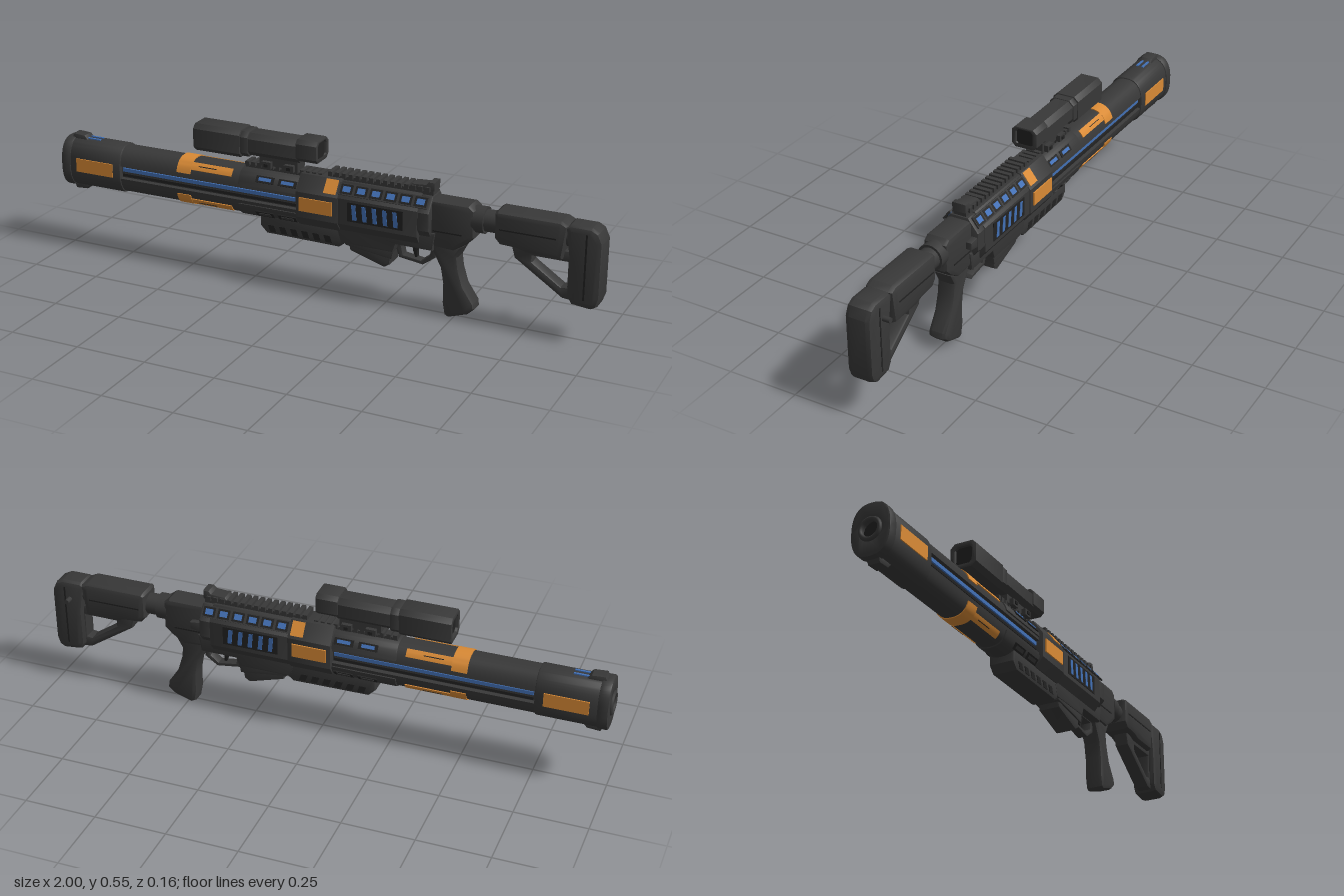
import * as THREE from 'three';
import { toCreasedNormals } from 'three/addons/utils/BufferGeometryUtils.js';

const mat = (name, color) => {
  const m = new THREE.MeshStandardMaterial({ color });
  m.name = name;
  return m;
};

export function createModel() {
  const root = new THREE.Group();
  const body = mat('charcoal', 0x383838), dark = mat('black', 0x222222);
  const orange = mat('orange', 0xd98a35), blue = mat('blue', 0x4270b5);
  const CY = 0.325; // barrel axis height

  const add = (name, geo, m = body) => {
    const mesh = new THREE.Mesh(geo, m);
    mesh.name = name;
    root.add(mesh);
    return mesh;
  };
  const shapeOf = (pts, holes = []) => {
    const s = new THREE.Shape(pts.map(p => new THREE.Vector2(...p)));
    holes.forEach(h => s.holes.push(new THREE.Path(h.map(p => new THREE.Vector2(...p)))));
    return s;
  };
  const extrude = (pts, depth, b, holes) => toCreasedNormals(new THREE.ExtrudeGeometry(shapeOf(pts, holes), {
    depth: depth - 2 * b, bevelEnabled: b > 0, bevelThickness: b, bevelSize: b, bevelOffset: -b, bevelSegments: 2,
  }).translate(0, 0, b), 0.55);
  // section given as (z, y), run along x
  const prismX = (name, pts, x0, x1, b = 0.004, m = body, holes) =>
    add(name, extrude(pts, x1 - x0, b, holes).rotateY(Math.PI / 2).translate(x0, 0, 0), m);
  // side outline given as (x, y), centred across z
  const prismZ = (name, pts, half, b = 0.008, m = body, holes) =>
    add(name, extrude(pts, 2 * half, b, holes).translate(0, 0, -half), m);
  const box = (name, x0, x1, y0, y1, z0, z1, m = body) =>
    add(name, new THREE.BoxGeometry(x1 - x0, y1 - y0, z1 - z0).translate((x0 + x1) / 2, (y0 + y1) / 2, (z0 + z1) / 2), m);
  const boxC = (name, x0, x1, y0, y1, half, m) => box(name, x0, x1, y0, y1, -half, half, m);
  // plate on both flanks at depth z
  const sidePlate = (name, x0, x1, y0, y1, z, t, m) =>
    [1, -1].forEach(s => box(name, x0, x1, y0, y1, s * z - t / 2, s * z + t / 2, m));
  // chamfered rectangle
  const chamfer = (hw, y0, y1, c) => [[-hw + c, y0], [hw - c, y0], [hw, y0 + c], [hw, y1 - c],
    [hw - c, y1], [-hw + c, y1], [-hw, y1 - c], [-hw, y0 + c]];
  // arc of the tall rounded barrel section
  const arc = (hz, hy, a0, a1, n = 16) => Array.from({ length: n + 1 }, (_, i) => {
    const a = a0 + (a1 - a0) * i / n, c = Math.cos(a), s = Math.sin(a);
    return [hz * Math.sign(c) * Math.abs(c) ** 0.8, CY + hy * Math.sign(s) * Math.abs(s) ** 0.8];
  });
  const oval = (hz, hy) => arc(hz, hy, 0, Math.PI * 2, 48).slice(0, -1);
  const P = Math.PI;

  // Barrel with a channel along each flank
  const notch = [[-0.048, CY + 0.02], [-0.048, CY - 0.02]];
  prismX('barrel', [...arc(0.062, 0.083, 0.2, P - 0.2), ...notch, ...arc(0.062, 0.083, P + 0.2, 2 * P - 0.2),
    ...notch.slice().reverse().map(([z, y]) => [-z, y])], -0.76, -0.04, 0);
  sidePlate('barrelLight', -0.745, -0.06, CY + 0.003, CY + 0.016, 0.05, 0.008, blue);
  sidePlate('barrelChannelRail', -0.745, -0.06, CY - 0.014, CY - 0.004, 0.051, 0.008, dark);

  // Muzzle shroud, front cap and bore
  const bore = arc(0.034, 0.034, 0, 2 * P, 32).slice(0, -1);
  prismX('muzzleShroud', oval(0.066, 0.088), -0.965, -0.75, 0.005);
  prismX('muzzleCap', oval(0.07, 0.092), -0.992, -0.955, 0.006, body, [bore]);
  const ring = add('boreRing', new THREE.TorusGeometry(0.034, 0.008, 8, 32).rotateY(P / 2), body);
  ring.position.set(-0.992, CY, 0);
  const disc = add('bore', new THREE.CylinderGeometry(0.034, 0.034, 0.004, 32).rotateZ(P / 2), dark);
  disc.position.set(-0.972, CY, 0);
  prismZ('muzzleTopLug', [[-0.975, 0.405], [-0.9, 0.405], [-0.92, 0.425], [-0.965, 0.428]], 0.022, 0.004);
  prismZ('muzzleBottomLug', [[-0.975, 0.245], [-0.965, 0.22], [-0.92, 0.223], [-0.9, 0.245]], 0.022, 0.004);
  for (const s of [1, -1]) box('muzzleLight', -0.945, -0.86, 0.409, 0.416, s * 0.011 - 0.004, s * 0.011 + 0.004, blue);
  sidePlate('muzzlePanel', -0.93, -0.78, 0.303, 0.352, 0.064, 0.009, orange);

  // Orange band and side strips, above and below
  for (const [base, label] of [[0, 'top'], [P, 'bottom']]) {
    prismX(label + 'Band', arc(0.0655, 0.0865, base + 0.38, base + P - 0.38), -0.522, -0.468, 0, orange);
    for (const [a, b] of [[0.6, 1.05], [P - 1.05, P - 0.6]]) {
      const strip = [...arc(0.0645, 0.086, base + a, base + b, 5), ...arc(0.055, 0.075, base + b, base + a, 5)];
      prismX(label + 'Strip', strip, -0.468, -0.31, 0, orange);
      prismX(label + 'StripLine', [...arc(0.066, 0.087, base + (a + b) / 2 - 0.02, base + (a + b) / 2 + 0.02, 2),
        ...arc(0.058, 0.078, base + (a + b) / 2 + 0.02, base + (a + b) / 2 - 0.02, 2)], -0.44, -0.37, 0, dark);
    }
  }
  // Handguard sleeve halves with vents
  for (const [base, label] of [[0, 'upper'], [P, 'lower']]) {
    prismX(label + 'Handguard', arc(0.067, 0.088, base + 0.32, base + P - 0.32), -0.28, -0.04, 0.003);
    for (const x of [-0.18, -0.095]) for (const s of [1, -1]) {
      const y = base ? -1 : 1;
      const frame = add('ventFrame', new THREE.BoxGeometry(0.068, 0.024, 0.008), dark);
      const vent = add('vent', new THREE.BoxGeometry(0.046, 0.012, 0.009), base ? body : blue);
      frame.position.set(x, CY + y * 0.061, s * 0.052);
      vent.position.set(x, CY + y * 0.0618, s * 0.053);
      frame.rotation.x = vent.rotation.x = -s * y * 0.62;
    }
  }

  // Receiver
  const octagon = (g) => [[-0.047 - g, 0.25], [0.047 + g, 0.25], [0.073 + g, 0.285], [0.073 + g, 0.375],
    [0.035 + g, 0.425 + g], [-0.035 - g, 0.425 + g], [-0.073 - g, 0.375], [-0.073 - g, 0.285]];
  prismX('receiverCollar', octagon(0.003), -0.055, 0.1, 0.004);
  prismX('receiver', octagon(-0.001), 0.09, 0.385, 0.004);
  prismX('receiverRear', [[-0.045, 0.28], [0.045, 0.28], [0.07, 0.31], [0.07, 0.372], [0.033, 0.42],
    [-0.033, 0.42], [-0.07, 0.372], [-0.07, 0.31]], 0.38, 0.425, 0.006);
  prismZ('lowerReceiver', [[0.08, 0.27], [0.1, 0.205], [0.29, 0.205], [0.3, 0.235], [0.43, 0.235], [0.44, 0.3], [0.08, 0.3]], 0.05);
  sidePlate('receiverPanel', -0.04, 0.082, 0.309, 0.357, 0.076, 0.009, orange);
  for (const s of [1, -1]) {
    const slant = (name, x, w, h, t, m) => {
      const p = add(name, new THREE.BoxGeometry(w, h, t), m);
      p.position.set(x, 0.403, s * 0.053);
      p.rotation.x = -s * 0.65;
    };
    slant('shoulderPanel', 0.068, 0.045, 0.052, 0.009, orange);
    slant('shoulderVentFrame', 0.255, 0.32, 0.042, 0.006, body);
    for (let i = 0; i < 6; i++) {
      slant('shoulderVentSurround', 0.125 + i * 0.053, 0.044, 0.034, 0.0072, dark);
      slant('shoulderVentLight', 0.125 + i * 0.053, 0.028, 0.02, 0.0085, blue);
    }
    // slanted lights on the flank
    box('flankRecess', 0.135, 0.335, 0.3, 0.367, s * 0.072 - 0.002, s * 0.072 + 0.002, dark);
    for (let i = 0; i < 5; i++) {
      const x = 0.155 + i * 0.037;
      prismZ('flankLight', [[x, 0.307], [x + 0.015, 0.307], [x + 0.01, 0.36], [x - 0.005, 0.36]], 0.0015, 0, blue).position.z = s * 0.074;
    }
  }

  // Rails and rear sight
  const rail = (x0, x1, y, n, half) => {
    boxC('rail', x0, x1, y - 0.016, y, half * 0.75);
    const step = (x1 - x0) / n;
    for (let i = 0; i < n; i++) boxC('railTooth', x0 + i * step, x0 + (i + 0.6) * step, y - 0.004, y + 0.012, half);
  };
  rail(-0.27, 0.03, 0.421, 13, 0.026);
  rail(0.045, 0.42, 0.436, 15, 0.032);
  prismZ('rearSight', [[0.33, 0.435], [0.425, 0.435], [0.425, 0.465], [0.405, 0.465], [0.395, 0.455], [0.345, 0.452]], 0.026, 0.004);

  // Scope
  const win = (y0, y1) => chamfer(0.031, y0, y1, 0.009).reverse();
  prismX('scopeHood', chamfer(0.049, 0.447, 0.544, 0.016), -0.46, -0.28, 0.004, body, [win(0.464, 0.527)]);
  boxC('frontLens', -0.45, -0.444, 0.462, 0.529, 0.033, dark);
  prismX('scopeBody', chamfer(0.044, 0.458, 0.538, 0.018), -0.29, -0.06, 0.004);
  prismX('scopeStep', chamfer(0.047, 0.452, 0.541, 0.017), -0.28, -0.25, 0.003);
  prismX('scopeEyepiece', chamfer(0.048, 0.468, 0.545, 0.014), -0.07, 0.01, 0.005, body, [win(0.478, 0.535)]);
  boxC('rearLens', -0.004, 0.002, 0.476, 0.537, 0.033, dark);
  boxC('scopeMount', -0.215, -0.07, 0.43, 0.462, 0.027);
  for (const x of [-0.2, -0.115]) {
    boxC('mountClamp', x, x + 0.035, 0.424, 0.447, 0.042);
    boxC('mountBolt', x + 0.01, x + 0.025, 0.43, 0.441, 0.046, dark);
  }

  // Foregrip with slots
  prismZ('foregrip', [[-0.205, 0.26], [-0.205, 0.215], [-0.18, 0.19], [0.09, 0.187], [0.12, 0.21], [0.12, 0.26]], 0.047, 0.01);
  for (let i = 0; i < 6; i++) {
    const x = -0.165 + i * 0.042;
    for (const s of [1, -1]) prismZ('foregripSlot', [[x, 0.2], [x + 0.024, 0.2], [x + 0.015, 0.224], [x - 0.009, 0.224]], 0.002, 0, dark).position.z = s * 0.047;
  }
  // Magazine, trigger and guard
  prismZ('magazine', [[0.12, 0.23], [0.13, 0.18], [0.255, 0.142], [0.275, 0.155], [0.285, 0.23]], 0.04);
  prismZ('magazineCollar', [[0.11, 0.23], [0.115, 0.2], [0.285, 0.178], [0.295, 0.23]], 0.046, 0.005);
  prismZ('triggerGuard', [[0.28, 0.24], [0.3, 0.18], [0.385, 0.168], [0.43, 0.2], [0.43, 0.24]], 0.018, 0.003, body,
    [[[0.305, 0.232], [0.415, 0.232], [0.41, 0.205], [0.38, 0.181], [0.314, 0.19]]]);
  prismZ('trigger', [[0.35, 0.237], [0.345, 0.21], [0.355, 0.185], [0.362, 0.188], [0.362, 0.212], [0.375, 0.237]], 0.008, 0.002, dark);

  // Pistol grip
  prismZ('grip', [[0.41, 0.265], [0.425, 0.225], [0.452, 0.175], [0.462, 0.12], [0.462, 0.05], [0.47, 0.008], [0.485, 0],
    [0.55, 0.022], [0.575, 0.045], [0.572, 0.065], [0.535, 0.12], [0.518, 0.175], [0.512, 0.22], [0.535, 0.265]], 0.034, 0.014);
  // Rear housing and buffer tube
  prismZ('rearHousing', [[0.41, 0.41], [0.41, 0.25], [0.5, 0.245], [0.545, 0.275], [0.57, 0.3], [0.57, 0.395], [0.55, 0.41]], 0.044, 0.014);
  sidePlate('housingSeam', 0.43, 0.53, 0.305, 0.31, 0.044, 0.003, dark);
  prismZ('sideLatch', [[0.41, 0.32], [0.46, 0.33], [0.46, 0.355], [0.41, 0.36]], 0.011, 0.003).position.z = -0.055;
  const tube = (name, r, x0, x1, y) => add(name, new THREE.CylinderGeometry(r, r, x1 - x0, 28).rotateZ(P / 2)).position.set((x0 + x1) / 2, y, 0);
  tube('bufferTube', 0.037, 0.55, 0.9, 0.358);
  tube('bufferNut', 0.045, 0.56, 0.6, 0.358);

  // Shoulder stock
  prismZ('cheekRest', [[0.64, 0.405], [0.64, 0.32], [0.66, 0.298], [0.72, 0.295], [0.75, 0.285], [0.87, 0.285], [0.885, 0.4], [0.86, 0.412], [0.65, 0.412]], 0.052, 0.018);
  sidePlate('cheekSeam', 0.66, 0.85, 0.352, 0.357, 0.052, 0.003, dark);
  prismZ('stockFrame', [[0.69, 0.31], [0.705, 0.255], [0.735, 0.235], [0.87, 0.145], [0.92, 0.14], [0.92, 0.31]], 0.027, 0.008, body,
    [[[0.765, 0.272], [0.885, 0.272], [0.885, 0.185], [0.865, 0.182], [0.765, 0.25]]]);
  prismZ('buttPad', [[0.875, 0.395], [0.89, 0.29], [0.89, 0.16], [0.905, 0.135], [0.97, 0.128], [0.99, 0.14], [1, 0.17], [1, 0.36], [0.985, 0.392], [0.96, 0.405], [0.89, 0.405]], 0.047, 0.018);
  sidePlate('buttSeam', 0.945, 0.951, 0.16, 0.385, 0.0465, 0.003, dark);
  add('slingKnob', new THREE.CylinderGeometry(0.009, 0.009, 0.03, 12).rotateX(P / 2)).position.set(0.93, 0.34, -0.058);
  return root;
}
